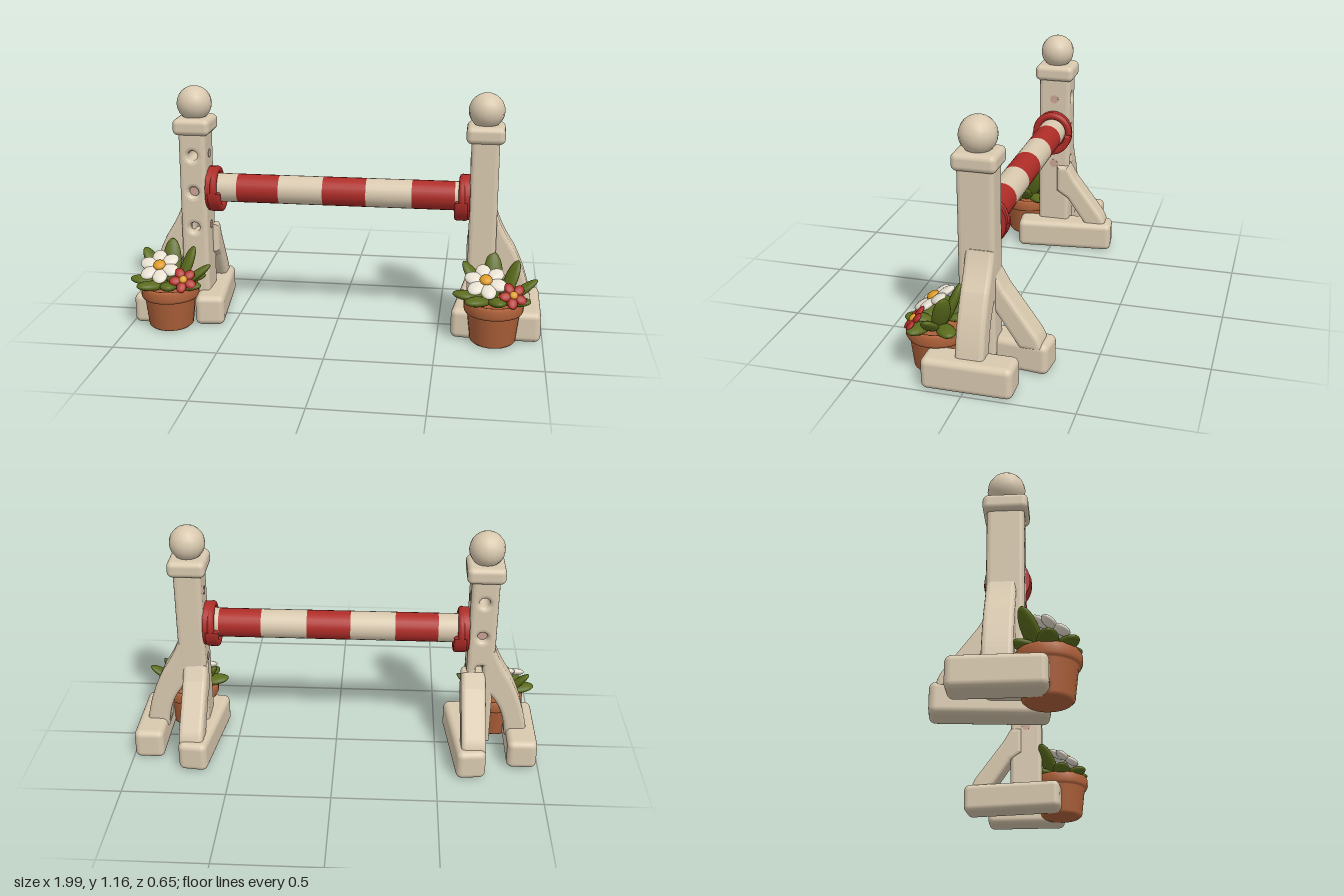
import * as THREE from 'three';
import { RoundedBoxGeometry } from 'three/addons/geometries/RoundedBoxGeometry.js';

const mat = (name, color, side = THREE.FrontSide) => {
  const m = new THREE.MeshStandardMaterial({ color, side });
  m.name = name;
  return m;
};

export function createModel() {
  const cream = mat('cream', 0xd8c8ae);
  const red = mat('red', 0xae2c27);
  const clay = mat('terracotta', 0xb0623a);
  const green = mat('leafGreen', 0x5a6b1c);
  const white = mat('petalWhite', 0xe6dfd0);
  const yellow = mat('yellow', 0xdc9a20);
  const shade = mat('holePink', 0xc9a394);

  const model = new THREE.Group();
  model.name = 'flowerJump';

  const add = (parent, name, geo, material, x = 0, y = 0, z = 0) => {
    const mesh = new THREE.Mesh(geo, material);
    mesh.name = name;
    mesh.position.set(x, y, z);
    parent.add(mesh);
    return mesh;
  };
  const ball = new THREE.SphereGeometry(1, 16, 12);

  // Shape extruded evenly to both sides of z = 0 with rounded edges
  const slab = (shape, depth, bevel) => {
    const g = new THREE.ExtrudeGeometry(shape, {
      depth: depth - 2 * bevel, bevelEnabled: true, bevelThickness: bevel, bevelSize: bevel,
      bevelOffset: -bevel, bevelSegments: 3, curveSegments: 14,
    });
    return g.translate(0, 0, -depth / 2 + bevel);
  };

  // Side brace profiles, measured outward from the post centre
  const outerBrace = new THREE.Shape();
  outerBrace.moveTo(0.01, 0.6);
  outerBrace.lineTo(0.01, 0.34);
  outerBrace.lineTo(0.055, 0.33);
  outerBrace.quadraticCurveTo(0.13, 0.25, 0.14, 0.1);
  outerBrace.lineTo(0.25, 0.1);
  outerBrace.quadraticCurveTo(0.23, 0.27, 0.15, 0.42);
  outerBrace.quadraticCurveTo(0.09, 0.51, 0.068, 0.58);

  const backBrace = new THREE.Shape();
  backBrace.moveTo(0.02, 0.46);
  backBrace.lineTo(0.02, 0.32);
  backBrace.lineTo(0.08, 0.28);
  backBrace.lineTo(0.19, 0.12);
  backBrace.lineTo(0.29, 0.12);
  backBrace.quadraticCurveTo(0.29, 0.16, 0.26, 0.2);
  backBrace.lineTo(0.12, 0.39);
  backBrace.lineTo(0.08, 0.46);

  const holeHeights = [0.47, 0.65, 0.83];

  // One stand; side is +1 for the left stand and -1 for the right one
  function makeStand(side) {
    const g = new THREE.Group();
    g.name = side > 0 ? 'leftStand' : 'rightStand';
    g.position.x = 0.7 * side;

    const front = new THREE.Shape();
    front.moveTo(-0.066, 0.06);
    front.lineTo(0.066, 0.06);
    front.lineTo(0.066, 0.97);
    front.lineTo(-0.066, 0.97);
    front.closePath();
    if (side < 0) {
      for (const y of holeHeights) {
        const hole = new THREE.Path();
        hole.absarc(0, y, 0.024, 0, Math.PI * 2, true);
        front.holes.push(hole);
      }
      const plug = add(g, 'holePlug', new THREE.CylinderGeometry(0.026, 0.026, 0.1, 14), shade, 0, 0.65, 0);
      plug.rotation.x = Math.PI / 2;
    }
    add(g, 'post', slab(front, 0.165, 0.02), cream);

    // Shallow peg holes on the inner face
    for (const y of [0.47, 0.83]) {
      const peg = add(g, 'innerHole', new THREE.CylinderGeometry(0.022, 0.022, 0.006, 14), shade, -0.065 * side, y, 0);
      peg.rotation.z = Math.PI / 2;
    }

    add(g, 'postCap', new RoundedBoxGeometry(0.18, 0.08, 0.2, 4, 0.026), cream, 0, 0.972, 0);
    add(g, 'capNeck', new THREE.CylinderGeometry(0.042, 0.06, 0.03, 16), cream, 0, 1.015, 0);
    add(g, 'finial', new THREE.SphereGeometry(0.085, 16, 12), cream, 0, 1.076, 0);

    // Feet and braces
    const inset = side > 0 ? -0.04 : -0.06;
    add(g, 'outerFoot', new RoundedBoxGeometry(0.145, 0.148, 0.41, 4, 0.03), cream, 0.218 * side, 0.074, -0.015);
    const inner = add(g, 'innerFoot', new RoundedBoxGeometry(0.142, 0.148, 0.505, 4, 0.03), cream, inset * side, 0.074, -0.07);
    inner.rotation.y = -0.11 * side;

    const outer = add(g, 'outerBrace', slab(outerBrace, 0.13, 0.02), cream, 0, 0, -0.017);
    if (side < 0) outer.rotation.y = Math.PI;
    const back = add(g, 'backBrace', slab(backBrace, 0.12, 0.02), cream, (inset + 0.025) * side, 0, 0);
    back.rotation.y = Math.PI / 2 - 0.04 * side;

    // Cup: back plate with a half-round trough under the bar end
    const plate = add(g, 'cupPlate', new THREE.CylinderGeometry(0.1, 0.1, 0.04, 28), red, -0.083 * side, 0.655, 0);
    plate.rotation.z = Math.PI / 2;
    plate.scale.x = 1.1;
    const trough = new THREE.Shape();
    trough.absarc(0, 0, 0.104, Math.PI, Math.PI * 2, false);
    trough.absarc(0, 0, 0.07, Math.PI * 2, Math.PI, true);
    const cup = add(g, 'cupTrough', slab(trough, 0.065, 0.012), red, -0.104 * side, 0.652, 0);
    cup.rotation.y = Math.PI / 2;
    cup.scale.y = 1.07;
    const rim = add(g, 'cupRim', new THREE.TorusGeometry(0.088, 0.018, 8, 28), red, -0.1 * side, 0.655, 0);
    rim.rotation.y = Math.PI / 2;
    rim.scale.y = 1.06;
    return g;
  }
  model.add(makeStand(1), makeStand(-1));

  // Striped bar, cut where the colour changes
  const bar = new THREE.Group();
  bar.name = 'stripedBar';
  const cuts = [-0.625, -0.49, -0.285, -0.07, 0.14, 0.36, 0.565, 0.625];
  for (let i = 0; i < cuts.length - 1; i++) {
    const len = cuts[i + 1] - cuts[i];
    const geo = new THREE.CylinderGeometry(0.07, 0.07, len, 24);
    const part = add(bar, i % 2 ? 'redStripe' : 'creamStripe', geo, i % 2 ? red : cream, cuts[i] + len / 2, 0.66, 0);
    part.rotation.z = Math.PI / 2;
  }
  model.add(bar);

  // Leaf stretched from base to tip
  const up = new THREE.Vector3(0, 1, 0);
  function leaf(parent, from, to, width, thick) {
    const a = new THREE.Vector3(...from), b = new THREE.Vector3(...to);
    const dir = b.clone().sub(a);
    const mid = a.clone().add(b).multiplyScalar(0.5);
    const m = add(parent, 'leaf', ball, green, mid.x, mid.y, mid.z);
    const y = dir.clone().normalize();
    const x = new THREE.Vector3(-dir.z, 0, dir.x).normalize();
    const z = x.clone().cross(y);
    m.quaternion.setFromRotationMatrix(new THREE.Matrix4().makeBasis(x, y, z));
    m.scale.set(width, dir.length() / 2, thick);
  }

  // Flower with a ring of petals facing along a normal
  function flower(parent, name, pos, normal, count, radius, material) {
    const f = new THREE.Group();
    f.name = name;
    f.position.set(...pos);
    f.quaternion.setFromUnitVectors(up, new THREE.Vector3(...normal).normalize());
    for (let i = 0; i < count; i++) {
      const a = (i / count) * Math.PI * 2 + 0.3;
      const p = add(f, 'petal', ball, material, Math.cos(a) * radius * 0.58, 0, Math.sin(a) * radius * 0.58);
      p.rotation.y = -a;
      p.scale.set(radius * 0.46, radius * 0.17, radius * 0.37);
    }
    add(f, 'flowerCentre', ball, yellow, 0, radius * 0.14, 0).scale.set(radius * 0.3, radius * 0.17, radius * 0.3);
    parent.add(f);
  }

  // Flower pots
  const potProfile = [[0, 0], [0.095, 0], [0.108, 0.012], [0.124, 0.148], [0.134, 0.152], [0.141, 0.165],
    [0.141, 0.2], [0.134, 0.213], [0.122, 0.21], [0.118, 0.195], [0, 0.195]];
  const potGeo = new THREE.LatheGeometry(potProfile.map(([x, y]) => new THREE.Vector2(x, y)), 24);
  const leaves = [
    [[0, 0.2, -0.03], [-0.01, 0.41, -0.11], 0.045, 0.022],
    [[0.04, 0.2, -0.02], [0.11, 0.385, -0.07], 0.042, 0.022],
    [[0.05, 0.2, 0], [0.2, 0.31, -0.02], 0.038, 0.02],
    [[-0.03, 0.2, -0.03], [-0.15, 0.36, -0.1], 0.042, 0.022],
    [[-0.04, 0.215, 0], [-0.195, 0.235, 0.01], 0.045, 0.022],
    [[-0.02, 0.215, 0.03], [-0.13, 0.23, 0.12], 0.045, 0.022],
    [[0.03, 0.215, 0.03], [0.17, 0.23, 0.07], 0.042, 0.022],
    [[0, 0.215, 0.02], [0.03, 0.235, 0.14], 0.042, 0.022],
    [[0.03, 0.215, -0.03], [0.15, 0.23, -0.11], 0.042, 0.022],
    [[-0.03, 0.215, -0.03], [-0.09, 0.235, -0.14], 0.042, 0.022],
  ];
  for (const x of [-0.805, 0.765]) {
    const pot = new THREE.Group();
    pot.name = 'flowerPot';
    pot.position.set(x, 0, 0.18);
    add(pot, 'pot', potGeo, clay);
    for (const l of leaves) leaf(pot, ...l);
    flower(pot, 'whiteFlower', [-0.04, 0.305, 0.025], [0, 0.8, 0.5], 6, 0.1, white);
    flower(pot, 'redFlower', [0.088, 0.26, 0.075], [0.2, 0.65, 0.7], 5, 0.065, red);
    model.add(pot);
  }
  return model;
}
